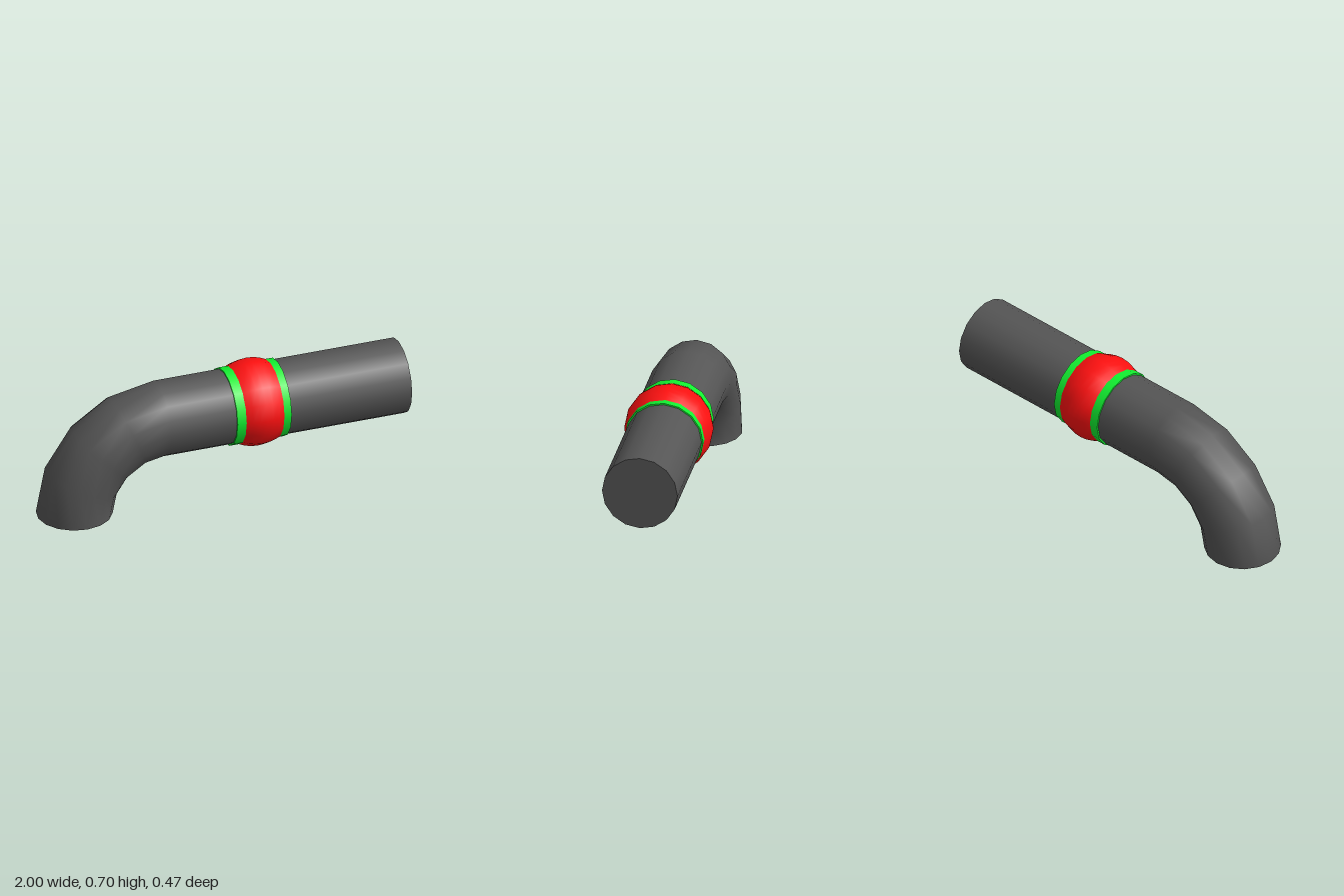
import * as THREE from 'three';

const SIDES = 16;
const AXIS_Y = 0.467; // height of the straight run, also the bend radius
const PIPE_R = 0.2;
const BEND_X = -0.333; // where the straight run meets the elbow

const dark = new THREE.MeshStandardMaterial({ color: 0x555555 });
const red = new THREE.MeshStandardMaterial({ color: 0xff1010 });
const green = new THREE.MeshStandardMaterial({ color: 0x11f030 });

export function createModel() {
  const group = new THREE.Group();

  const add = (name, geometry, material, x = 0, y = 0) => {
    const mesh = new THREE.Mesh(geometry, material);
    mesh.name = name;
    mesh.position.set(x, y, 0);
    group.add(mesh);
  };

  // Cylinder lying along x between two stations
  const tubeAlongX = (name, r, x0, x1, material, open) => {
    const g = new THREE.CylinderGeometry(r, r, x1 - x0, SIDES, 1, open).rotateZ(-Math.PI / 2);
    add(name, g, material, (x0 + x1) / 2, AXIS_Y);
  };

  // Straight pipe with its closed end
  tubeAlongX('straightPipe', PIPE_R, BEND_X, 1, dark, true);
  add('pipeEndCap', new THREE.CircleGeometry(PIPE_R, SIDES).rotateY(Math.PI / 2), dark, 1, AXIS_Y);

  // Quarter-turn elbow down to the ground
  const elbow = new THREE.TorusGeometry(AXIS_Y, PIPE_R, SIDES, 4, Math.PI / 2).rotateY(Math.PI);
  add('elbow', elbow, dark, BEND_X, 0);
  add('elbowEndCap', new THREE.CircleGeometry(PIPE_R, SIDES).rotateX(Math.PI / 2), dark, BEND_X - AXIS_Y, 0);

  // Collars on either side of the joint
  tubeAlongX('innerCollar', 0.208, 0.03, 0.08, green, false);
  tubeAlongX('outerCollar', 0.208, 0.288, 0.33, green, false);

  // Bulging joint: the middle band of a sphere
  const R = 0.2325, half = 0.48, profile = [];
  for (let i = 0; i <= 6; i++) {
    const a = -half + (2 * half * i) / 6;
    profile.push(new THREE.Vector2(R * Math.cos(a), R * Math.sin(a)));
  }
  add('jointBulge', new THREE.LatheGeometry(profile, SIDES).rotateZ(-Math.PI / 2), red, 0.186, AXIS_Y);

  return group;
}
